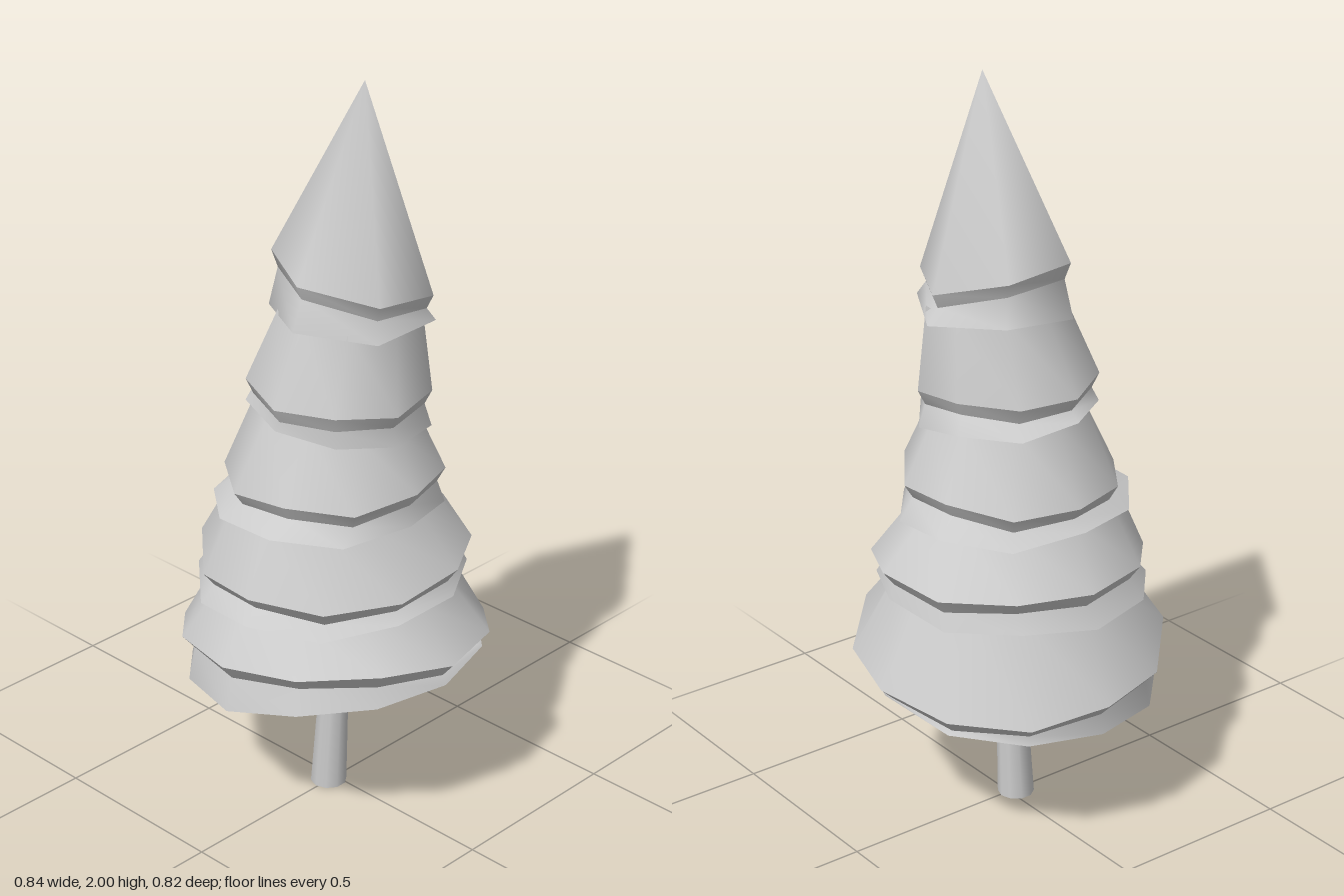
import * as THREE from 'three';
import { mergeVertices } from 'three/addons/utils/BufferGeometryUtils.js';

const material = new THREE.MeshStandardMaterial({ color: 0xcccccc });

// A ring is a tilted, slightly uneven polygon around (x, y, z).
const ring = (x, y, z, rx, rz, tiltX = 0, tiltZ = 0) => ({ x, y, z, rx, rz, tiltX, tiltZ });

// The same ring scaled about its centre and moved up or down.
const resized = (r, scale, lift) =>
  ({ ...r, y: r.y + lift, rx: r.rx * scale, rz: r.rz * scale });

function ringPoints(r, sides, phase) {
  const points = [];
  for (let i = 0; i < sides; i++) {
    const a = phase + (i / sides) * Math.PI * 2;
    const dx = Math.cos(a) * r.rx, dz = Math.sin(a) * r.rz;
    const wobble = r.rx > 0 ? 0.01 * Math.sin(i * 2.6 + r.y * 9) : 0;
    points.push(r.x + dx, r.y + r.tiltX * dx + r.tiltZ * dz + wobble, r.z + dz);
  }
  return points;
}

// Closed band between two rings, smooth around and sharp at its rims.
function band(name, upper, lower, sides, phase) {
  const index = [];
  for (let i = 0; i < sides; i++) {
    const j = (i + 1) % sides;
    if (upper.rx > 0) index.push(i, j, sides + i);
    if (upper.rx === 0 || lower.rx > 0) index.push(j, sides + j, sides + i);
  }
  const g = new THREE.BufferGeometry();
  g.setAttribute('position', new THREE.Float32BufferAttribute(
    [...ringPoints(upper, sides, phase), ...ringPoints(lower, sides, phase)], 3));
  g.setIndex(index);
  const merged = mergeVertices(g);
  merged.computeVertexNormals();
  const mesh = new THREE.Mesh(merged, material);
  mesh.name = name;
  return mesh;
}

// One tier: cone down to a rim, tucked-in underside, then a flared skirt.
function foliageTier(top, rim, skirt, sides, phase, isLast) {
  const tier = new THREE.Group();
  const tuck = resized(rim, 0.92, -0.038);
  const inner = resized(skirt, isLast ? 0 : 0.6, 0.01);
  tier.add(
    band('cone', top, rim, sides, phase),
    band('rimUnderside', rim, tuck, sides, phase),
    band('skirt', tuck, skirt, sides, phase),
    band('skirtUnderside', skirt, inner, sides, phase));
  return tier;
}

export function createModel() {
  const tree = new THREE.Group();
  tree.name = 'tree';

  // Foliage tiers from top to bottom, each starting just inside the skirt above
  const tiers = [
    { sides: 6, phase: Math.PI / 6,
      rim: ring(0.053, 1.497, -0.005, 0.215, 0.192, -0.16, 0.13),
      skirt: ring(0.05, 1.395, -0.008, 0.218, 0.208, -0.02) },
    { sides: 9, phase: Math.PI / 2,
      rim: ring(0.03, 1.205, 0.015, 0.243, 0.232, -0.02, 0.02),
      skirt: ring(0.018, 1.125, 0.005, 0.248, 0.228, -0.08, 0.07) },
    { sides: 10, phase: 0,
      rim: ring(0.005, 0.953, 0.008, 0.288, 0.285, 0.04, -0.01),
      skirt: ring(-0.005, 0.873, 0.018, 0.288, 0.32, 0, 0.03) },
    { sides: 11, phase: Math.PI,
      rim: ring(0, 0.727, 0, 0.35, 0.368, -0.02, -0.04),
      skirt: ring(-0.003, 0.648, 0.012, 0.352, 0.364, 0.02, -0.04) },
    { sides: 12, phase: 0,
      rim: ring(0, 0.485, 0, 0.418, 0.412, 0.115, 0.1),
      skirt: ring(0.005, 0.408, 0.005, 0.395, 0.4, 0.15, -0.02) },
  ];
  let top = ring(0.08, 2, -0.02, 0, 0);
  tiers.forEach(({ sides, phase, rim, skirt }, i) => {
    const tier = foliageTier(top, rim, skirt, sides, phase, i === tiers.length - 1);
    tier.name = `foliageTier${i + 1}`;
    tree.add(tier);
    top = resized(skirt, 0.85, 0.014);
  });

  // Leaning, tapered trunk, open at both ends
  const trunkGeometry = new THREE.CylinderGeometry(0.036, 0.049, 0.45, 10, 1, true);
  trunkGeometry.translate(0, 0.225, 0);
  const p = trunkGeometry.attributes.position;
  for (let i = 0; i < p.count; i++) {
    p.setX(i, p.getX(i) - 0.005 + p.getY(i) * 0.055);
    p.setZ(i, p.getZ(i) + 0.02 - p.getY(i) * 0.01);
  }
  const trunk = new THREE.Mesh(trunkGeometry, material);
  trunk.name = 'trunk';
  tree.add(trunk);

  return tree;
}
